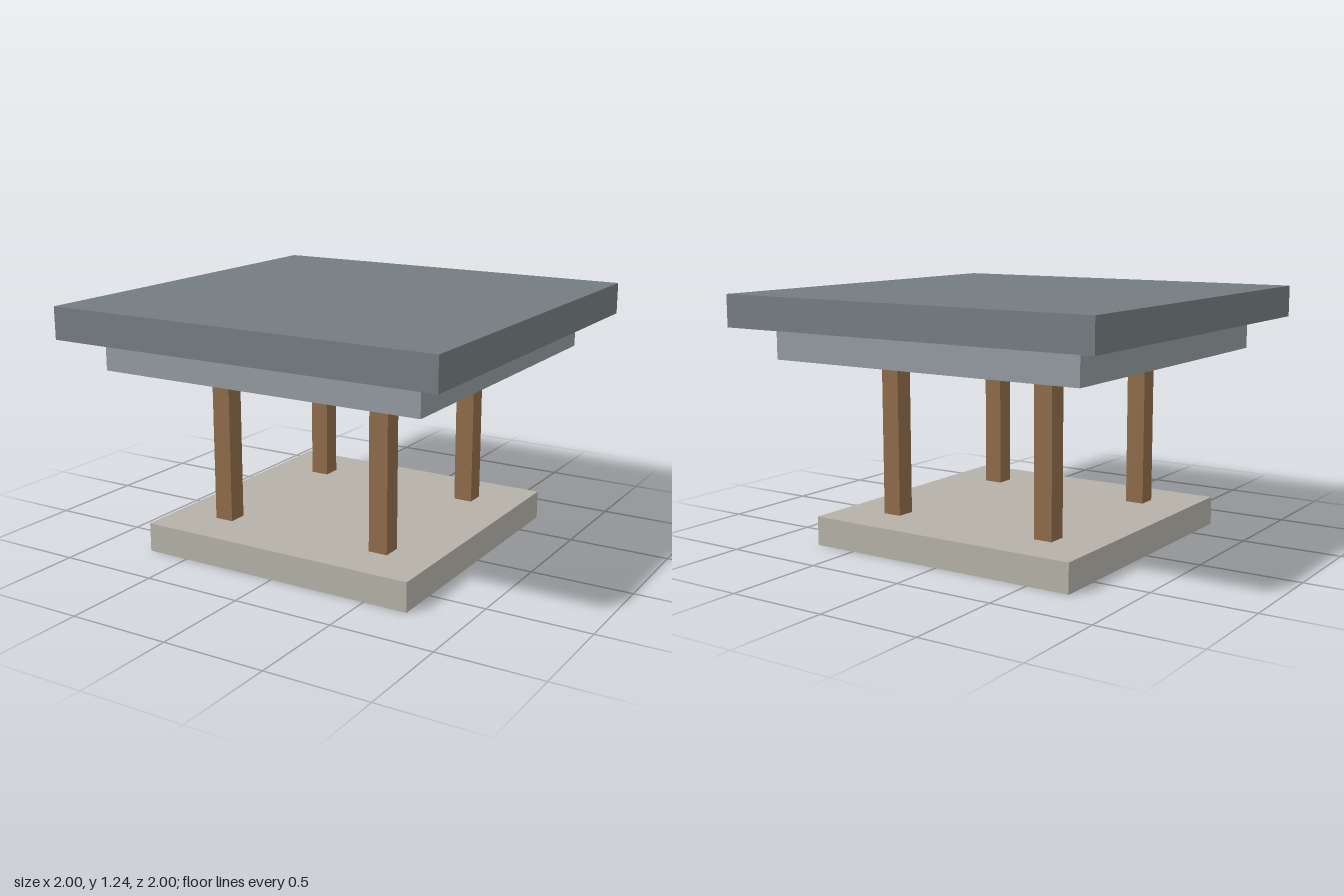
import * as THREE from 'three';

export function createModel() {
  const model = new THREE.Group();
  model.name = 'pavilion';

  const paint = (color) => new THREE.MeshStandardMaterial({ color });
  const stone = paint(0xb5b1a8);
  const wood = paint(0x8f6c4a);
  const eaveSlate = paint(0x939a9e);
  const roofSlate = paint(0x757c80);

  // Square block of a given width, spanning bottom to top
  function block(name, width, bottom, top, material, x = 0, z = 0) {
    const mesh = new THREE.Mesh(new THREE.BoxGeometry(width, top - bottom, width), material);
    mesh.name = name;
    mesh.position.set(x, (bottom + top) / 2, z);
    model.add(mesh);
  }

  // Base slab
  block('base', 1.44, 0, 0.144, stone);

  // Four corner posts
  for (const [sideName, x] of [['Left', 0.44], ['Right', -0.44]]) {
    for (const [endName, z] of [['front', 0.44], ['back', -0.44]]) {
      block(`${endName}${sideName}Post`, 0.096, 0.144, 0.925, wood, x, z);
    }
  }

  // Stepped roof
  block('lowerRoof', 1.68, 0.925, 1.084, eaveSlate);
  block('upperRoof', 2, 1.084, 1.242, roofSlate);

  return model;
}
